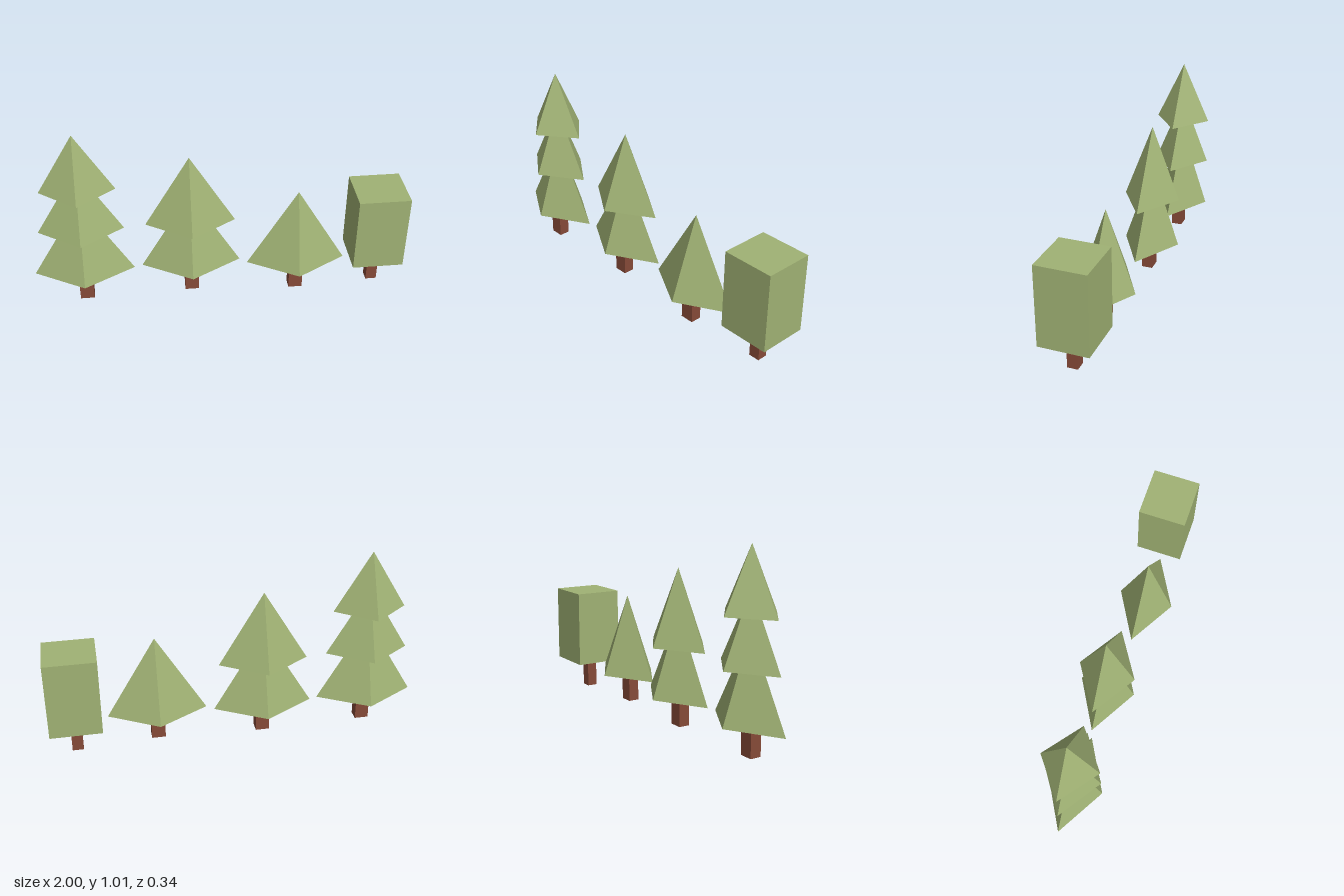
import * as THREE from 'three';

export function createModel() {
  const model = new THREE.Group();
  const leaf = new THREE.MeshStandardMaterial({ color: 0xa0b274 });
  const bark = new THREE.MeshStandardMaterial({ color: 0x864a38 });
  leaf.flatShading = true;
  bark.flatShading = true;

  const box = (name, mat, parent, w, d, y0, y1, x, z) => {
    const mesh = new THREE.Mesh(new THREE.BoxGeometry(w, y1 - y0, d), mat);
    mesh.name = name;
    mesh.position.set(x, (y0 + y1) / 2, z);
    parent.add(mesh);
  };

  // One diamond-based pyramid of foliage
  const tier = (parent, index, halfWidth, y0, y1) => {
    const geo = new THREE.ConeGeometry(1, 1, 4);
    geo.scale(halfWidth, y1 - y0, 0.154);
    const mesh = new THREE.Mesh(geo, leaf);
    mesh.name = 'foliageTier' + (index + 1);
    mesh.position.y = (y0 + y1) / 2;
    parent.add(mesh);
  };

  // Pines, each a stack of [half width, base height, apex height]
  const pines = [
    { name: 'tallPine', x: -0.733, z: -0.004, foot: 0.004,
      tiers: [[0.268, 0.165, 0.615], [0.226, 0.437, 0.815], [0.197, 0.688, 1.015]] },
    { name: 'mediumPine', x: -0.155, z: -0.019, foot: 0.008,
      tiers: [[0.268, 0.165, 0.615], [0.24, 0.437, 0.84]] },
    { name: 'smallPine', x: 0.418, z: 0.017, foot: 0.005,
      tiers: [[0.268, 0.165, 0.613]] },
  ];
  for (const p of pines) {
    const tree = new THREE.Group();
    tree.name = p.name;
    tree.position.set(p.x, 0, p.z);
    p.tiers.forEach(([w, y0, y1], i) => tier(tree, i, w, y0, y1));
    box('trunk', bark, tree, 0.075, 0.06, p.foot, 0.19, 0, 0.015);
    model.add(tree);
  }

  // Block-shaped tree
  const blockTree = new THREE.Group();
  blockTree.name = 'blockTree';
  box('foliageBlock', leaf, blockTree, 0.276, 0.262, 0.165, 0.591, 0.859, -0.005);
  box('trunk', bark, blockTree, 0.06, 0.056, 0, 0.19, 0.858, 0.002);
  model.add(blockTree);

  return model;
}
